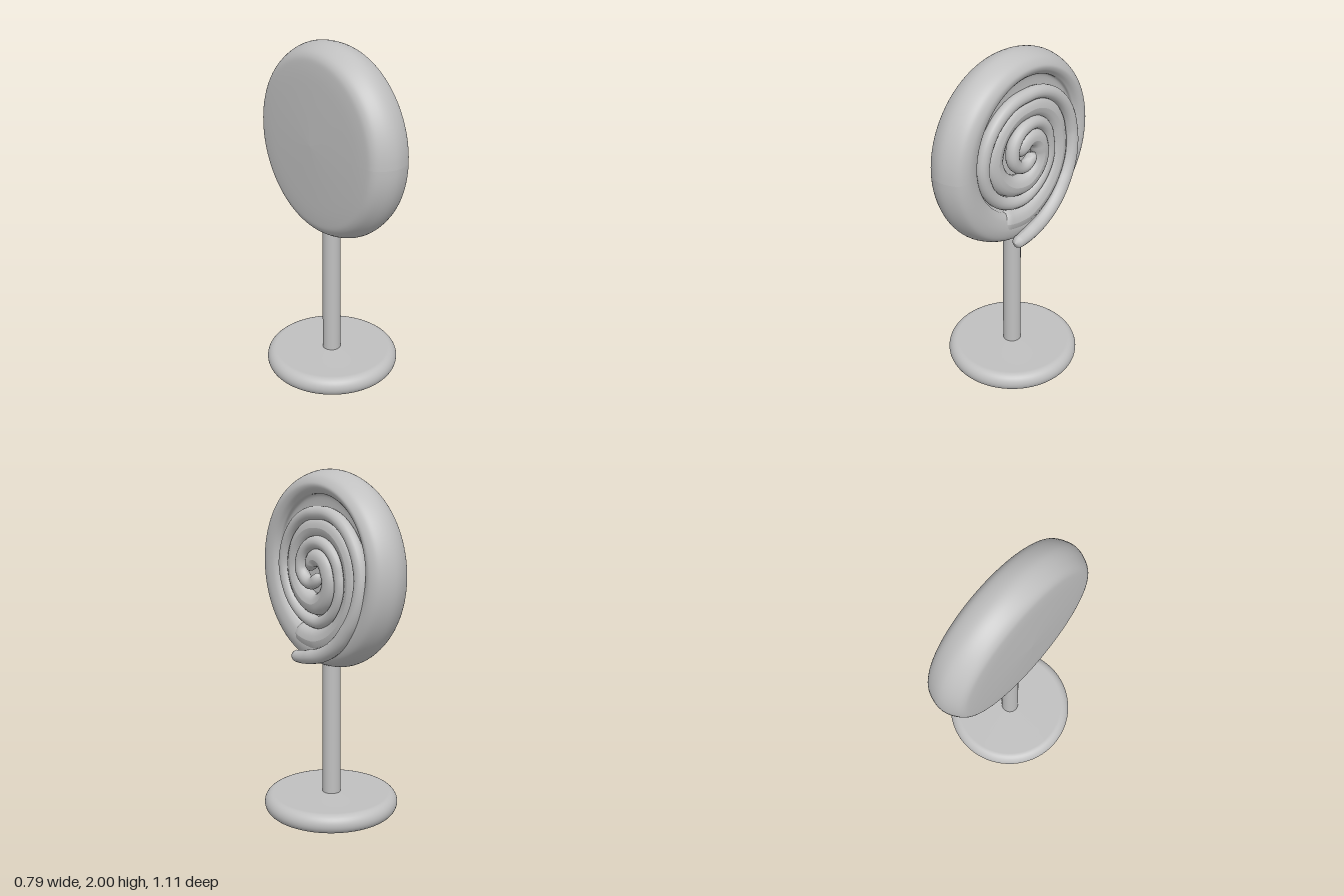
import * as THREE from 'three';

const CY = 1.445; // height of the disc centre

export function createModel() {
  const group = new THREE.Group();
  const candyGrey = new THREE.MeshStandardMaterial({ color: 0xc0c0c0 });
  candyGrey.name = 'plainGrey';

  const add = (name, geometry) => {
    const mesh = new THREE.Mesh(geometry, candyGrey);
    mesh.name = name;
    group.add(mesh);
    return mesh;
  };
  const vecs = (list) => list.map(([r, h]) => new THREE.Vector2(r, h));

  // Round base with a soft edge
  const basePoints = [new THREE.Vector2(0, 0)];
  for (let i = 0; i <= 16; i++) {
    const a = -Math.PI / 2 + (Math.PI * i) / 16;
    basePoints.push(new THREE.Vector2(0.34 + 0.055 * Math.cos(a), 0.057 + 0.057 * Math.sin(a)));
  }
  basePoints.push(new THREE.Vector2(0.06, 0.114), new THREE.Vector2(0, 0.116));
  add('base', new THREE.LatheGeometry(basePoints, 72));

  // Stick
  const stick = add('stick', new THREE.CylinderGeometry(0.052, 0.054, 0.86, 32));
  stick.position.set(-0.004, 0.53, 0);

  // Disc: domed back, rounded rim and a recessed face, turned towards +x
  const profile = new THREE.SplineCurve(vecs([
    [0, -0.155], [0.25, -0.148], [0.43, -0.139], [0.5, -0.122], [0.54, -0.07],
    [0.557, -0.01], [0.547, 0.05], [0.52, 0.1], [0.475, 0.123], [0.43, 0.118],
    [0.4, 0.095], [0.375, 0.065], [0.2, 0.06], [0, 0.06],
  ])).getPoints(90);
  profile[0].x = profile[profile.length - 1].x = 0;
  const disc = new THREE.LatheGeometry(profile, 96);
  disc.rotateZ(-Math.PI / 2);
  // The recess sits a little off centre so it follows the spiral
  const p = disc.attributes.position;
  for (let i = 0; i < p.count; i++) {
    const r = Math.hypot(p.getY(i), p.getZ(i));
    if (p.getX(i) > 0.04) {
      const w = THREE.MathUtils.smoothstep(0.52 - r, 0, 0.12);
      p.setY(i, p.getY(i) + 0.03 * w);
      p.setZ(i, p.getZ(i) - 0.02 * w);
    }
  }
  disc.computeVertexNormals();
  add('disc', disc).position.y = CY;

  // Spiral strand: knots are [angle in degrees, radius, x, thickness]
  const strand = (name, knots, flat) => {
    const n = 260;
    const path = new THREE.CatmullRomCurve3(knots.flatMap((k, i) => {
      const next = knots[i + 1];
      const steps = next ? 6 : 1;
      return Array.from({ length: steps }, (_, s) => {
        const t = s / steps;
        const [a, r, x] = next ? k.map((v, j) => THREE.MathUtils.lerp(v, next[j], t)) : k;
        const rad = THREE.MathUtils.degToRad(a);
        return new THREE.Vector3(x, r * Math.sin(rad), -r * Math.cos(rad));
      });
    }));
    const sides = 16;
    const geo = new THREE.TubeGeometry(path, n, 1, sides, false);
    const pos = geo.attributes.position;
    const length = path.getLength();
    const v = new THREE.Vector3();
    for (let i = 0; i <= n; i++) {
      const c = path.getPointAt(i / n);
      const a = path.getUtoTmapping(i / n) * (knots.length - 1);
      const k = Math.min(Math.floor(a), knots.length - 2);
      const size = THREE.MathUtils.lerp(knots[k][3], knots[k + 1][3], a - k);
      // rounded tips
      const d = Math.min(1, (Math.min(i, n - i) / n) * length / size);
      const s = size * Math.sqrt(1 - (1 - d) ** 2);
      for (let j = 0; j <= sides; j++) {
        const id = i * (sides + 1) + j;
        v.fromBufferAttribute(pos, id).sub(c).multiplyScalar(s);
        v.x *= flat;
        v.add(c);
        pos.setXYZ(id, v.x, v.y, v.z);
      }
    }
    geo.computeVertexNormals();
    add(name, geo).position.y = CY;
  };

  // Thin rope, its tail lifting off the rim at the bottom
  strand('spiralRope', [
    [-107, 0.525, 0.155, 0.034], [-90, 0.485, 0.148, 0.042], [-45, 0.42, 0.125, 0.044],
    [0, 0.388, 0.1, 0.04], [90, 0.32, 0.085, 0.038], [180, 0.33, 0.085, 0.038],
    [270, 0.295, 0.085, 0.038], [360, 0.195, 0.09, 0.038], [450, 0.16, 0.105, 0.038],
    [540, 0.125, 0.115, 0.038], [630, 0.06, 0.115, 0.036], [700, 0.02, 0.115, 0.034],
  ], 1);

  // Broad band running in from the rim between the turns of rope
  strand('spiralBand', [
    [-120, 0.42, 0.07, 0.07], [-90, 0.4, 0.072, 0.075], [-45, 0.34, 0.072, 0.068],
    [0, 0.29, 0.07, 0.062], [90, 0.24, 0.07, 0.06], [180, 0.235, 0.07, 0.06],
    [270, 0.19, 0.085, 0.062], [360, 0.11, 0.1, 0.055], [450, 0.075, 0.105, 0.05],
    [540, 0.03, 0.105, 0.045],
  ], 0.85);

  return group;
}
